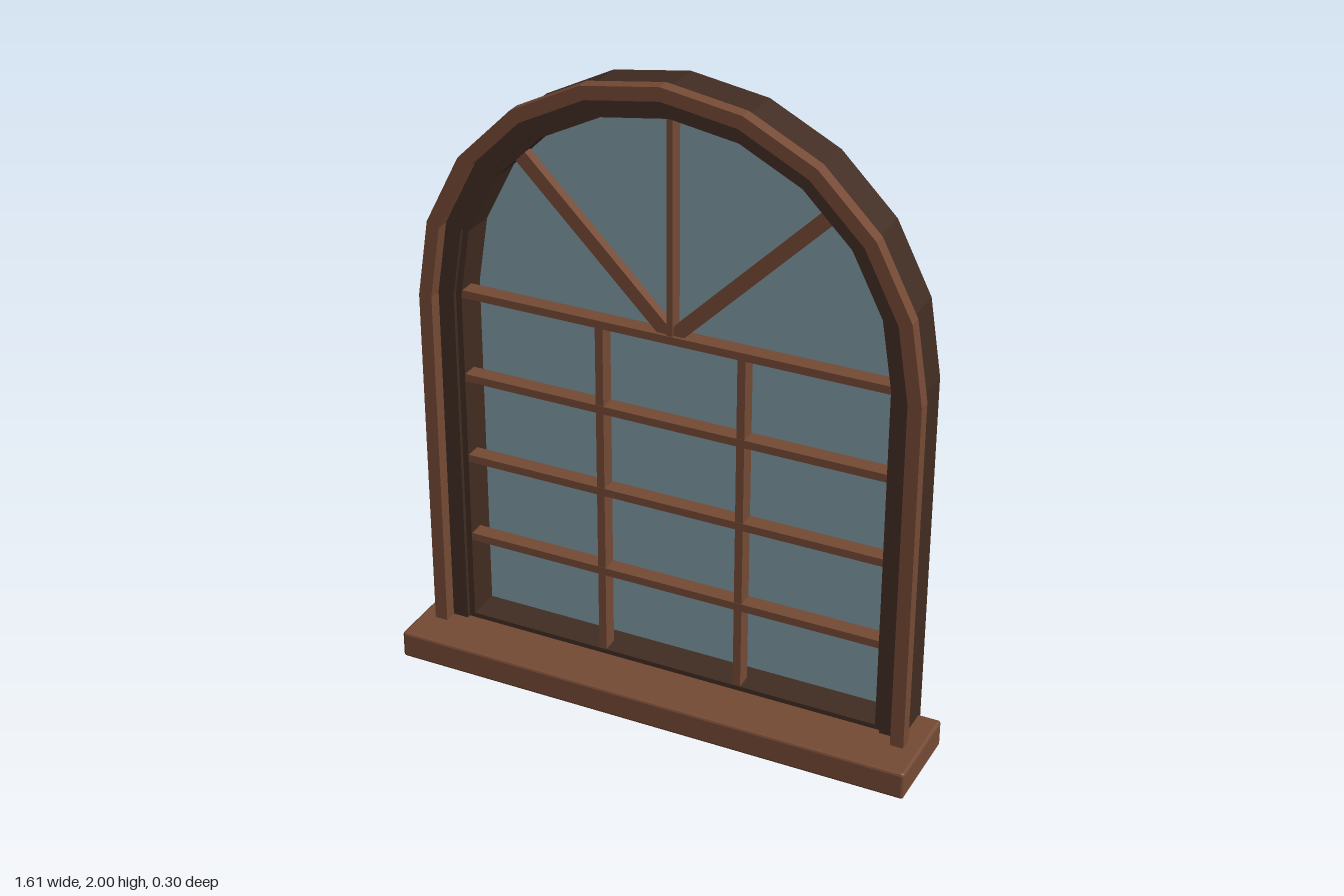
import * as THREE from 'three';
import { RoundedBoxGeometry } from 'three/addons/geometries/RoundedBoxGeometry.js';

const SPRING_Y = 1.243; // height where the arch begins

// Arched outline: straight jambs topped by a ten-sided half circle
function archPoints(radius, bottom) {
  const points = [new THREE.Vector2(-radius, bottom), new THREE.Vector2(radius, bottom)];
  for (let i = 0; i <= 10; i++) {
    const a = (i / 10) * Math.PI;
    points.push(new THREE.Vector2(radius * Math.cos(a), SPRING_Y + radius * Math.sin(a)));
  }
  return points;
}

// Arched ring (or solid pane when there is no inner radius) between two depths
function archGeometry(outer, bottom, inner, innerBottom, zBack, zFront) {
  const shape = new THREE.Shape(archPoints(outer, bottom));
  if (inner) shape.holes.push(new THREE.Path(archPoints(inner, innerBottom)));
  const geometry = new THREE.ExtrudeGeometry(shape, { depth: zFront - zBack, bevelEnabled: false });
  return geometry.translate(0, 0, zBack);
}

export function createModel() {
  const group = new THREE.Group();
  const material = (name, color) => new THREE.MeshStandardMaterial({ name, color, flatShading: true });
  const wood = material('warm brown wood', 0x754a35);
  const darkWood = material('dark brown wood', 0x412c22);
  const glass = material('blue grey glass', 0x8099a5);

  const add = (name, geometry, mat, x = 0, y = 0, z = 0) => {
    const mesh = new THREE.Mesh(geometry, mat);
    mesh.name = name;
    mesh.position.set(x, y, z);
    group.add(mesh);
    return mesh;
  };

  // Frame, inner sash, front trim and pane
  add('frame', archGeometry(0.737, 0.08, 0.668, 0.152, -0.15, -0.005), darkWood);
  add('sash', archGeometry(0.668, 0.152, 0.65, 0.17, -0.15, -0.018), darkWood);
  add('trim', archGeometry(0.757, 0.062, 0.717, 0.1, -0.005, 0.035), wood);
  add('pane', archGeometry(0.655, 0.165, 0, 0, -0.135, -0.122), glass);

  // Sill and the apron below it
  add('sill', new RoundedBoxGeometry(1.61, 0.085, 0.29, 1, 0.008), wood, 0, 0.113, 0.005);
  add('apron', new RoundedBoxGeometry(1.46, 0.075, 0.13, 1, 0.006), wood, 0, 0.0375, -0.037);

  // Glazing bars of the rectangular part
  const barZ = -0.045;
  for (const y of [0.44, 0.708, 0.975, 1.243]) {
    add('horizontalBar', new THREE.BoxGeometry(1.31, 0.024, 0.05), wood, 0, y, barZ);
  }
  for (const x of [-0.217, 0.217]) {
    add('verticalBar', new THREE.BoxGeometry(0.024, 1.073, 0.048), wood, x, 0.7065, barZ);
  }

  // Fan bars radiating in the arch
  add('centreFanBar', new THREE.BoxGeometry(0.018, 0.65, 0.046), wood, 0, SPRING_Y + 0.325, barZ);
  for (const side of [-1, 1]) {
    const offset = side * 0.33 * Math.SQRT1_2;
    const bar = add('diagonalFanBar', new THREE.BoxGeometry(0.042, 0.64, 0.03), wood,
      offset, SPRING_Y + 0.33 * Math.SQRT1_2, barZ);
    bar.rotation.z = -side * Math.PI / 4;
  }

  return group;
}
